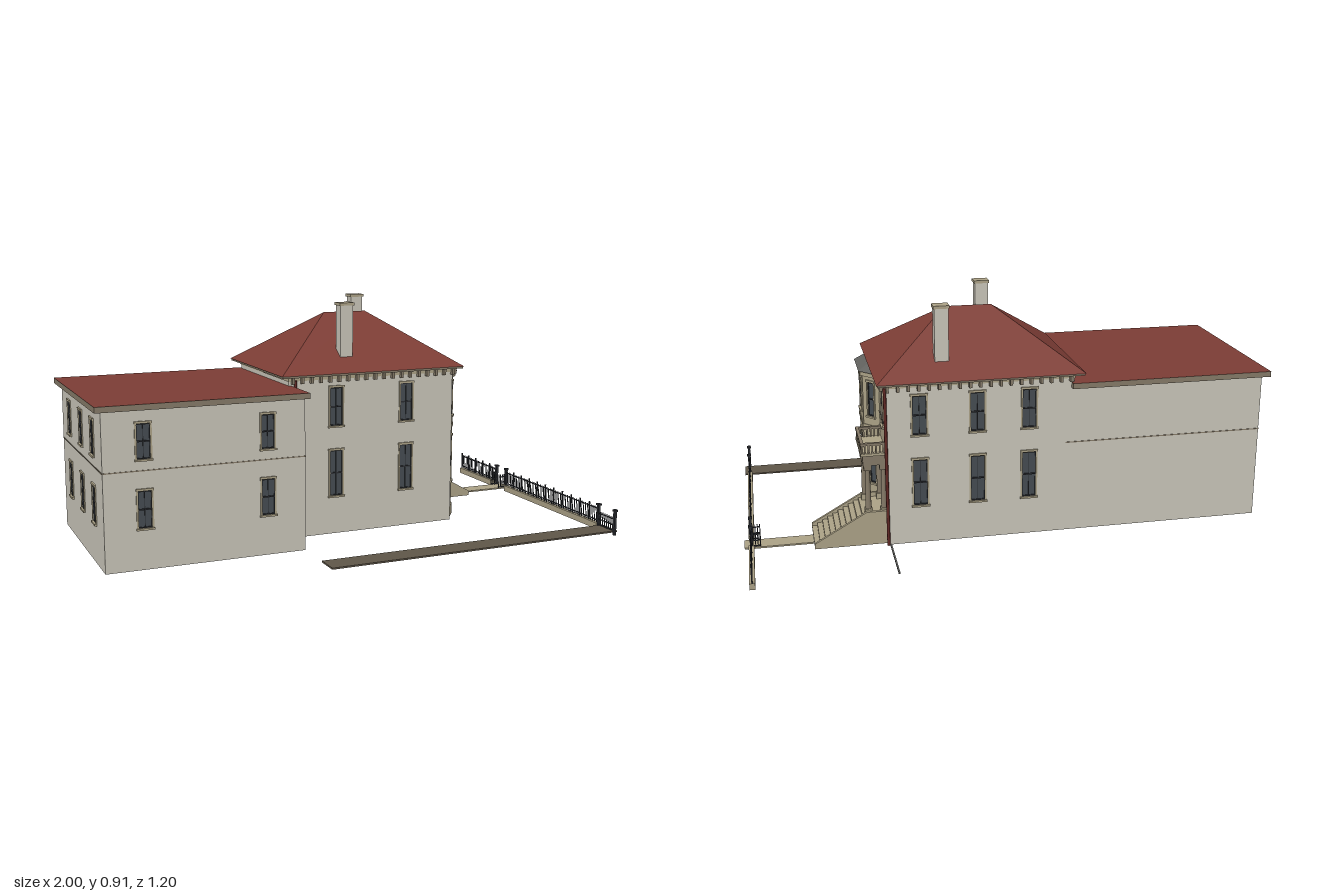
import * as THREE from 'three';

const mat = (name, color, both) => {
  const m = new THREE.MeshStandardMaterial({ color });
  m.name = name;
  if (both) m.side = THREE.DoubleSide;
  return m;
};

export function createModel() {
  const M = {
    wall: mat('pale render', 0xc9c5b9, true),
    stone: mat('tan stone', 0xaca287, true),
    trim: mat('dark stone trim', 0x857a68),
    roof: mat('red roof', 0x7c3d35),
    glass: mat('window glass', 0x454c52),
    iron: mat('black iron', 0x2b2d31),
    door: mat('red door', 0x8c3a30),
    pipe: mat('dark red paint', 0x5e2723),
    slate: mat('grey slate', 0x62625f),
    soil: mat('drive', 0x5f5648, true),
  };
  const model = new THREE.Group();
  model.name = 'house';

  const add = (name, geo, m, parent = model) => {
    const mesh = new THREE.Mesh(geo, m);
    mesh.name = name;
    parent.add(mesh);
    return mesh;
  };
  // box given by its limits on each axis
  const box = (name, m, x0, x1, y0, y1, z0, z1, parent) => {
    const g = new THREE.BoxGeometry(x1 - x0, y1 - y0, z1 - z0);
    g.translate((x0 + x1) / 2, (y0 + y1) / 2, (z0 + z1) / 2);
    return add(name, g, m, parent);
  };
  const group = (name) => {
    const g = new THREE.Group();
    g.name = name;
    model.add(g);
    return g;
  };
  // upright prism from a plan outline of [x, z] points
  const prism = (name, m, pts, y0, y1) => {
    const s = new THREE.Shape(pts.map(([x, z]) => new THREE.Vector2(x, -z)));
    const g = new THREE.ExtrudeGeometry(s, { depth: y1 - y0, bevelEnabled: false });
    g.rotateX(-Math.PI / 2).translate(0, y0, 0);
    return add(name, g, m);
  };
  // flat faces, each listed anticlockwise from outside
  const faces = (name, m, list) => {
    const pos = [];
    for (const f of list)
      for (let i = 1; i < f.length - 1; i++) pos.push(...f[0], ...f[i], ...f[i + 1]);
    const g = new THREE.BufferGeometry();
    g.setAttribute('position', new THREE.Float32BufferAttribute(pos, 3));
    g.computeVertexNormals();
    return add(name, g, m);
  };
  const rectPath = (x0, x1, y0, y1, C = THREE.Path) =>
    new C([[x0, y0], [x1, y0], [x1, y1], [x0, y1]].map((p) => new THREE.Vector2(...p)));

  // sash window set in a wall opening
  function addWindow(parent, [u, w, y0, y1]) {
    const g = new THREE.Group();
    g.name = 'window';
    parent.add(g);
    const l = u - w / 2, r = u + w / 2, mid = (y0 + y1) / 2, b = 0.005;
    const pane = new THREE.PlaneGeometry(w, y1 - y0);
    add('glass', pane.translate(u, mid, -0.004), M.glass, g);
    const sash = rectPath(l, r, y0, y1, THREE.Shape);
    sash.holes.push(rectPath(l + b, r - b, y0 + b, mid - b / 2), rectPath(l + b, r - b, mid + b / 2, y1 - b));
    const sg = new THREE.ExtrudeGeometry(sash, { depth: 0.004, bevelEnabled: false });
    add('sash', sg.translate(0, 0, -0.003), M.iron, g);
    if (w > 0.04) box('glazing bar', M.iron, u - 0.001, u + 0.001, y0, y1, -0.003, 0, g);
    for (const x of [l, r]) {
      box('jamb', M.pipe, x - 0.001, x + 0.001, y0, y1, -0.02, -0.005, g);
      box('surround', M.stone, x - 0.003, x + 0.003, y0, y1, 0, 0.004, g);
    }
    box('lintel', M.stone, l - 0.004, r + 0.004, y1 - 0.001, y1 + 0.007, 0, 0.006, g);
    box('sill', M.stone, l - 0.005, r + 0.005, y0 - 0.006, y0 + 0.001, 0, 0.009, g);
  }
  // wall from a to b in plan, left to right as seen from outside
  function wall(name, m, a, b, y0, y1, wins = []) {
    const dx = b[0] - a[0], dz = b[1] - a[1];
    const g = group(name);
    g.position.set(a[0], 0, a[1]);
    g.rotation.y = Math.atan2(-dz, dx);
    const s = rectPath(0, Math.hypot(dx, dz), y0, y1, THREE.Shape);
    for (const [u, w, h0, h1] of wins) s.holes.push(rectPath(u - w / 2, u + w / 2, h0, h1));
    add('wall face', new THREE.ShapeGeometry(s), m, g);
    wins.forEach((w) => addWindow(g, w));
    return g;
  }
  const storeys = (us, w, rows) => us.flatMap((u) => rows.map(([p, q]) => [u, w, p, q]));

  // Rear wing
  const G = 0.015, wingRows = [[0.165, 0.3], [0.41, 0.537]];
  const wingTop = 0.587;
  wall('wingFrontWall', M.wall, [-0.975, 0.345], [-0.23, 0.345], G, wingTop, storeys([0.145, 0.6], 0.055, wingRows));
  wall('wingSideWall', M.wall, [-0.23, 0.345], [-0.23, 0.18], G, wingTop, storeys([0.085], 0.055, wingRows));
  wall('wingEndWall', M.wall, [-0.975, -0.36], [-0.975, 0.345], G, wingTop, storeys([0.145, 0.36, 0.56], 0.055, wingRows));
  wall('wingBackWall', M.wall, [-0.205, -0.36], [-0.975, -0.36], G, wingTop);
  box('wingBelt', M.trim, -0.976, -0.229, 0.368, 0.372, 0.344, 0.347);
  box('wingBackBelt', M.trim, -0.976, -0.2, 0.368, 0.372, -0.362, -0.359);
  box('wingEndBelt', M.trim, -0.977, -0.974, 0.368, 0.372, -0.36, 0.345);
  const { trim, roof } = M;
  const wr = box('wingRoof', M.roof, -1, -0.22, 0.585, 0.606, -0.385, 0.37);
  wr.material = [trim, trim, roof, trim, trim, trim];

  // Main block
  const rows = [[0.165, 0.345], [0.44, 0.59]];
  wall('frontWall', M.wall, [-0.23, 0.18], [0.47, 0.18], G, 0.64, storeys([0.195, 0.495], 0.058, rows));
  wall('backWall', M.wall, [0.47, -0.36], [-0.23, -0.36], G, 0.64, storeys([0.12, 0.335, 0.53], 0.058, rows));
  wall('entranceWall', M.stone, [0.47, 0.18], [0.47, -0.36], G, 0.64, [[0.42, 0.055, 0.445, 0.595]]);
  wall('upperRearWall', M.wall, [-0.23, -0.36], [-0.23, 0.18], 0.58, 0.64);
  box('entranceBelt', M.trim, 0.469, 0.473, 0.467, 0.47, -0.36, -0.135);

  // Eaves, brackets and hipped roof
  box('eaves', M.trim, -0.262, 0.502, 0.637, 0.645, -0.392, 0.207);
  box('frieze', M.stone, -0.232, 0.474, 0.622, 0.638, -0.364, 0.184);
  const br = group('eaveBrackets');
  for (let i = 0; i <= 18; i++) {
    const x = -0.215 + i * 0.0378;
    box('bracket', M.trim, x - 0.005, x + 0.005, 0.612, 0.638, 0.18, 0.197, br);
    box('bracket', M.trim, x - 0.005, x + 0.005, 0.612, 0.638, -0.382, -0.36, br);
  }
  for (let i = 0; i <= 14; i++) {
    const z = -0.35 + i * 0.0372;
    box('bracket', M.trim, 0.47, 0.492, 0.612, 0.638, z - 0.005, z + 0.005, br);
  }
  const [x0, x1, z0, z1, ye, yr] = [-0.266, 0.506, -0.396, 0.21, 0.645, 0.852];
  const c = [[x0, ye, z1], [x1, ye, z1], [x1, ye, z0], [x0, ye, z0]];
  const rl = [0.03, yr, -0.092], rr = [0.21, yr, -0.092];
  faces('hippedRoof', M.roof, [
    [c[0], c[1], rr, rl], [c[1], c[2], rr], [c[2], c[3], rl, rr], [c[3], c[0], rl], [c[3], c[2], c[1], c[0]],
  ]);

  // Chimneys
  for (const [x, z, base] of [[0.029, 0.112, 0.69], [0.257, -0.295, 0.69]]) {
    box('chimney', M.wall, x - 0.026, x + 0.026, base, 0.897, z - 0.021, z + 0.021);
    box('chimneyCap', M.stone, x - 0.03, x + 0.03, 0.895, 0.906, z - 0.025, z + 0.025);
  }

  // Downpipes
  for (const [x, z] of [[-0.205, 0.187], [0.474, -0.364]]) {
    const p = add('downpipe', new THREE.CylinderGeometry(0.006, 0.006, 0.61, 8), M.pipe);
    p.position.set(x, 0.32, z);
  }

  // Bay window
  const bay = [[0.47, 0.165], [0.525, 0.09], [0.525, -0.07], [0.47, -0.135]];
  const bayRows = [[0.165, 0.35], [0.437, 0.573]];
  const bayWin = [[0.047, 0.036], [0.08, 0.06], [0.043, 0.036]];
  bayWin.forEach(([u, w], i) =>
    wall('bayWall', M.stone, bay[i], bay[i + 1], G, 0.6, storeys([u], w, bayRows)));
  const grow = (d) => [[0.47, 0.165 + d * 1.4], [0.525 + d, 0.09 + d / 2], [0.525 + d, -0.07 - d / 2], [0.47, -0.135 - d * 1.4]];
  prism('bayPlinth', M.stone, grow(0.004), G, 0.06);
  prism('bayBelt', M.stone, grow(0.003), 0.385, 0.4);
  prism('bayCornice', M.stone, grow(0.009), 0.594, 0.612);
  const lo = grow(0.015).map(([x, z]) => [x, 0.612, z]);
  const hi = [[0.47, 0.64, 0.13], [0.5, 0.638, 0.08], [0.5, 0.638, -0.06], [0.47, 0.64, -0.1]];
  faces('bayRoof', M.slate, [
    ...[0, 1, 2].map((i) => [lo[i], lo[i + 1], hi[i + 1], hi[i]]), hi, [...lo].reverse(),
  ]);

  // Doorway
  box('doorSurround', M.stone, 0.47, 0.476, 0.128, 0.29, -0.283, -0.192);
  box('door', M.door, 0.474, 0.479, 0.128, 0.257, -0.271, -0.204);
  box('transom', M.glass, 0.474, 0.479, 0.26, 0.28, -0.271, -0.204);

  // Porch with columns and balcony
  box('porchFloor', M.stone, 0.47, 0.565, G, 0.128, -0.342, -0.142);
  for (const z of [-0.167, -0.313])
    for (const x of [0.482, 0.54]) {
      box('pedestal', M.stone, x - 0.014, x + 0.014, 0.128, 0.15, z - 0.014, z + 0.014);
      const col = add('column', new THREE.CylinderGeometry(0.0085, 0.011, 0.155, 12), M.trim);
      col.position.set(x, 0.2275, z);
      box('capital', M.trim, x - 0.014, x + 0.014, 0.302, 0.325, z - 0.014, z + 0.014);
    }
  box('entablature', M.trim, 0.47, 0.557, 0.322, 0.362, -0.328, -0.15);
  box('balconyFloor', M.stone, 0.47, 0.565, 0.362, 0.372, -0.338, -0.14);
  const rail = group('balconyRailing');
  box('handrail', M.trim, 0.553, 0.565, 0.403, 0.412, -0.338, -0.14, rail);
  for (let i = 0; i <= 14; i++) {
    const z = -0.334 + i * 0.01357;
    box('baluster', M.trim, 0.556, 0.562, 0.372, 0.404, z - 0.003, z + 0.003, rail);
  }
  for (const z of [-0.332, -0.146]) {
    box('sideHandrail', M.trim, 0.47, 0.555, 0.403, 0.412, z - 0.006, z + 0.006, rail);
    for (let x = 0.48; x < 0.55; x += 0.0137)
      box('baluster', M.trim, x - 0.003, x + 0.003, 0.372, 0.404, z - 0.003, z + 0.003, rail);
  }

  // Entrance steps between sloping side walls
  for (let i = 0; i < 9; i++) {
    const x = 0.565 + i * 0.02;
    box('step', M.stone, x, x + 0.02, G, 0.118 - i * 0.0115, -0.332, -0.152);
  }
  const cheek = new THREE.Shape([[0.47, G], [0.745, G], [0.745, 0.035], [0.55, 0.145], [0.47, 0.145]].map((p) => new THREE.Vector2(...p)));
  for (const z of [-0.344, -0.152])
    add('stepSideWall', new THREE.ExtrudeGeometry(cheek, { depth: 0.012, bevelEnabled: false }).translate(0, 0, z), M.stone);

  // Path, drive and boundary line
  box('path', M.stone, 0.745, 1, 0.008, 0.014, -0.278, -0.208);
  box('drive', M.soil, -0.225, 0.996, 0.008, 0.014, 0.488, 0.582);
  box('boundaryLine', M.slate, 0.462, 0.468, 0.01, 0.016, -0.6, -0.36);

  // Street railings on a low kerb
  const F = 0.975;
  const fence = group('streetRailings');
  for (const [a, b] of [[-0.597, -0.28], [-0.2, 0.488]]) {
    box('kerb', M.stone, F - 0.01, F + 0.01, 0, 0.024, a, b, fence);
    for (const y of [0.034, 0.082]) box('rail', M.iron, F - 0.002, F + 0.002, y - 0.002, y + 0.002, a, b, fence);
    const n = Math.round((b - a) / 0.0125);
    for (let i = 0; i <= n; i++) {
      const z = a + ((b - a) * i) / n, t = i % 5 ? 0.0012 : 0.0025;
      box('picket', M.iron, F - t, F + t, 0.024, i % 5 ? 0.088 : 0.097, z - t, z + t, fence);
    }
  }
  for (const z of [0.592, 0.488, -0.2, -0.28]) {
    box('gatePost', M.iron, F - 0.005, F + 0.005, 0, 0.098, z - 0.005, z + 0.005, fence);
    box('postCap', M.iron, F - 0.008, F + 0.008, 0.096, 0.103, z - 0.008, z + 0.008, fence);
  }
  // Closed drive gate and open path gates
  for (const y of [0.018, 0.04, 0.064]) {
    box('driveGateRail', M.iron, F - 0.002, F + 0.002, y - 0.002, y + 0.002, 0.488, 0.592, fence);
    for (const z of [-0.207, -0.273]) box('pathGateRail', M.iron, 0.94, F, y - 0.002, y + 0.002, z - 0.002, z + 0.002, fence);
  }
  for (let i = 1; i < 8; i++)
    box('driveGateBar', M.iron, F - 0.0015, F + 0.0015, 0.015, 0.072, 0.4885 + i * 0.013, 0.4915 + i * 0.013, fence);
  for (const z of [-0.207, -0.273])
    for (let x = 0.94; x < F; x += 0.009) box('pathGateBar', M.iron, x, x + 0.003, 0.014, 0.075, z - 0.0015, z + 0.0015, fence);

  return model;
}
